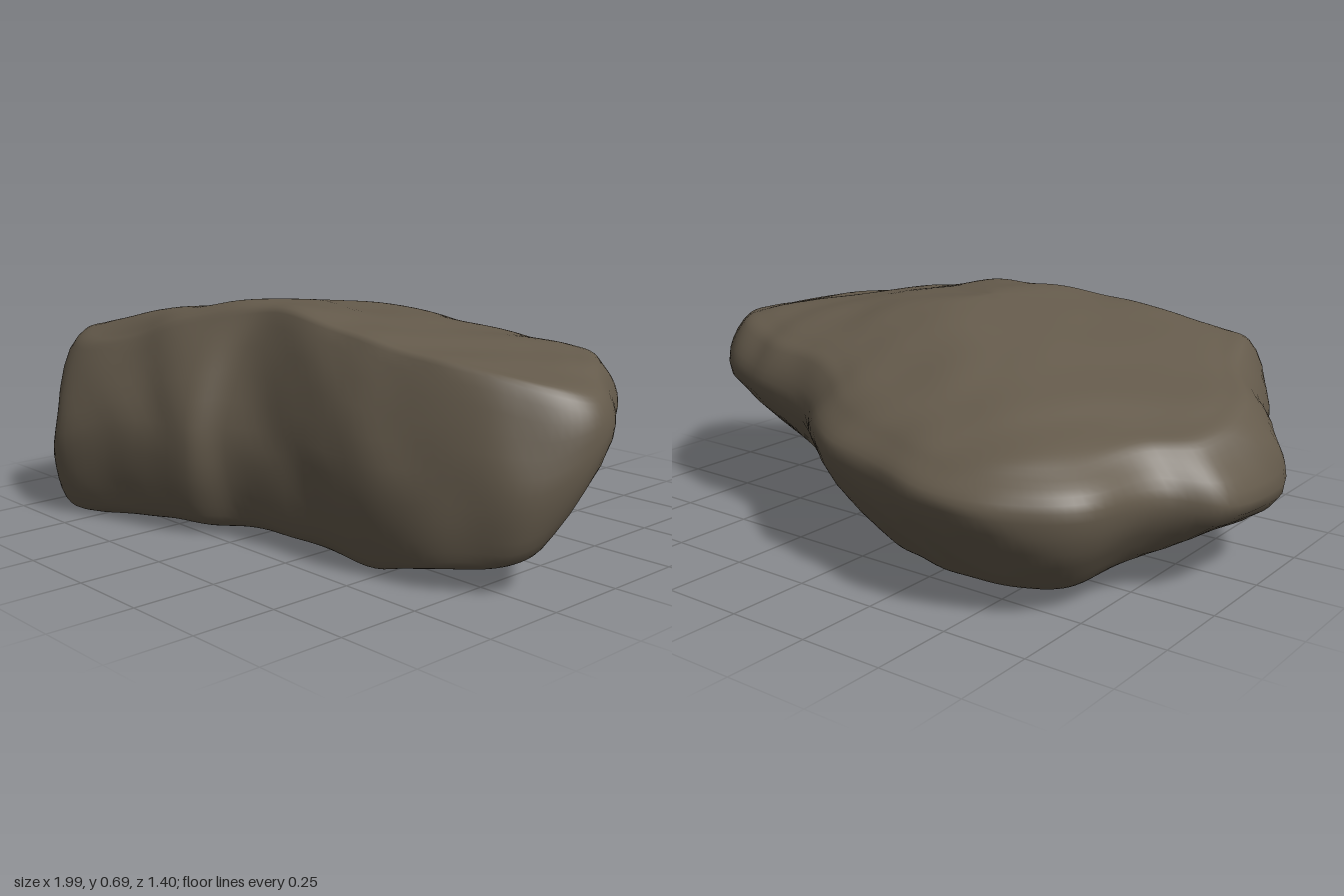
import * as THREE from 'three';
import { mergeVertices } from 'three/addons/utils/BufferGeometryUtils.js';

// Contours run from the +x tip round the front, left end and back
// Edge of the underside: [x, y, z]
const FOOT = [
  [.88, .08, .2], [.84, .06, .28], [.7, .05, .36], [.52, .01, .39], [.22, .03, .42], [0, .03, .45],
  [-.14, .02, .53], [-.38, .02, .6], [-.6, 0, .66], [-.69, .03, .62], [-.72, .05, .42], [-.74, .07, .2],
  [-.74, .07, -.1], [-.71, .06, -.28], [-.68, .04, -.45], [-.58, .05, -.53], [-.42, .05, -.56], [-.22, .03, -.51],
  [-.02, .02, -.41], [.14, .03, -.24], [.32, .04, -.08], [.52, .05, .05], [.72, .06, .13],
];
// Widest line of the flanks: [x, y, z]
const GIRTH = [
  [.99, .4, .05], [.93, .3, .23], [.74, .3, .355], [.5, .28, .425], [.22, .3, .445], [-.02, .3, .49],
  [-.11, .3, .575], [-.38, .3, .635], [-.62, .22, .7], [-.71, .25, .64], [-.82, .28, .42], [-.98, .23, .17],
  [-.98, .25, -.15], [-.86, .28, -.265], [-.785, .3, -.5], [-.66, .3, -.63], [-.45, .31, -.7], [-.18, .33, -.65],
  [.08, .35, -.59], [.32, .36, -.42], [.57, .4, -.385], [.75, .42, -.3], [.88, .42, -.13],
];
// Edge of the top in plan: [x, z]
const SHOULDER = [
  [.965, .05], [.9, .17], [.7, .28], [.45, .33], [.2, .355], [0, .37],
  [-.15, .44], [-.4, .55], [-.6, .605], [-.67, .56], [-.76, .36], [-.89, .14],
  [-.89, -.12], [-.79, -.25], [-.71, -.46], [-.6, -.57], [-.43, -.63], [-.17, -.58],
  [.05, -.52], [.27, -.38], [.53, -.34], [.71, -.26], [.84, -.11],
];
const AROUND = 161, ROWS = 56;

const loop = (points) =>
  new THREE.CatmullRomCurve3(points.map((p) => new THREE.Vector3(...p)), true, 'centripetal');

// Height of the top: a softened meeting of sloping planes
function topHeight(x, z) {
  const planes = [
    0.70 + 0.25 * x + 0.17 * (z - 0.2), // long slope to the left end
    0.70 - 0.15 * x,                    // gentle slope to the right
    0.605 + 0.46 * (z + 0.2),           // slope to the back
    0.685 - 0.75 * (z - 0.4),           // rounded front brow
    0.52 + 0.5 * (0.97 - x),            // drop at the tip
  ];
  const k = 0.018;
  return -k * Math.log(planes.reduce((sum, h) => sum + Math.exp(-h / k), 0));
}

const topPoint = (x, z, drop = 0) => new THREE.Vector3(x, topHeight(x, z) - drop, z);
const CREST = topPoint(0, 0.12);
const BASE = new THREE.Vector3(-0.1, 0.05, 0.12);

// Smooth repeatable unevenness of the stone
function rough({ x, y, z }) {
  return 0.005 * Math.sin(9 * x + 5 * y + 3 * Math.sin(6 * z))
    + 0.004 * Math.sin(13 * z - 8 * y + 2 * Math.sin(11 * x))
    + 0.003 * Math.sin(27 * x + 19 * z + 2 * Math.sin(17 * y));
}

function stoneGeometry() {
  const foot = loop(FOOT), girth = loop(GIRTH);
  const shoulder = loop(SHOULDER.map(([x, z]) => [x, 0, z]));
  const positions = [], index = [];
  for (let i = 0; i < AROUND; i++) {
    const u = i / AROUND;
    const f = foot.getPoint(u), g = girth.getPoint(u), s = shoulder.getPoint(u);
    const onTop = (t, drop) =>
      topPoint(THREE.MathUtils.lerp(s.x, CREST.x, t), THREE.MathUtils.lerp(s.z, CREST.z, t), drop);
    // One rib from the underside centre, up the flank, to the crest
    const rib = new THREE.CatmullRomCurve3([
      BASE, f.clone().lerp(BASE, 0.5), f.clone().lerp(BASE, 0.08), f.clone().lerp(g, 0.12), g,
      onTop(0, 0.02), onTop(0.1, 0.004), onTop(0.25), onTop(0.45), onTop(0.7), CREST,
    ], false, 'centripetal');
    for (let j = 0; j <= ROWS; j++) {
      const v = j / ROWS, p = rib.getPoint(v);
      const fade = j === 0 || j === ROWS ? 0 : Math.sin(Math.PI * v);
      const out = new THREE.Vector3(p.x, (p.y - 0.33) * 2, p.z).normalize();
      p.addScaledVector(out, rough(p) * fade);
      positions.push(p.x, Math.max(p.y, 0), p.z);
    }
  }
  for (let i = 0; i < AROUND; i++) {
    for (let j = 0; j < ROWS; j++) {
      const a = i * (ROWS + 1) + j, b = ((i + 1) % AROUND) * (ROWS + 1) + j;
      if (j < ROWS - 1) index.push(a, a + 1, b + 1);
      if (j > 0) index.push(a, b + 1, b);
    }
  }
  let geometry = new THREE.BufferGeometry();
  geometry.setAttribute('position', new THREE.Float32BufferAttribute(positions, 3));
  geometry.setIndex(index);
  geometry = mergeVertices(geometry, 1e-5);
  geometry.computeVertexNormals();
  return geometry;
}

export function createModel() {
  const group = new THREE.Group();
  group.name = 'rock';
  const stone = new THREE.MeshStandardMaterial({ color: 0x645a4b });
  stone.name = 'brown grey stone';
  const boulder = new THREE.Mesh(stoneGeometry(), stone);
  boulder.name = 'boulder';
  group.add(boulder);
  return group;
}
